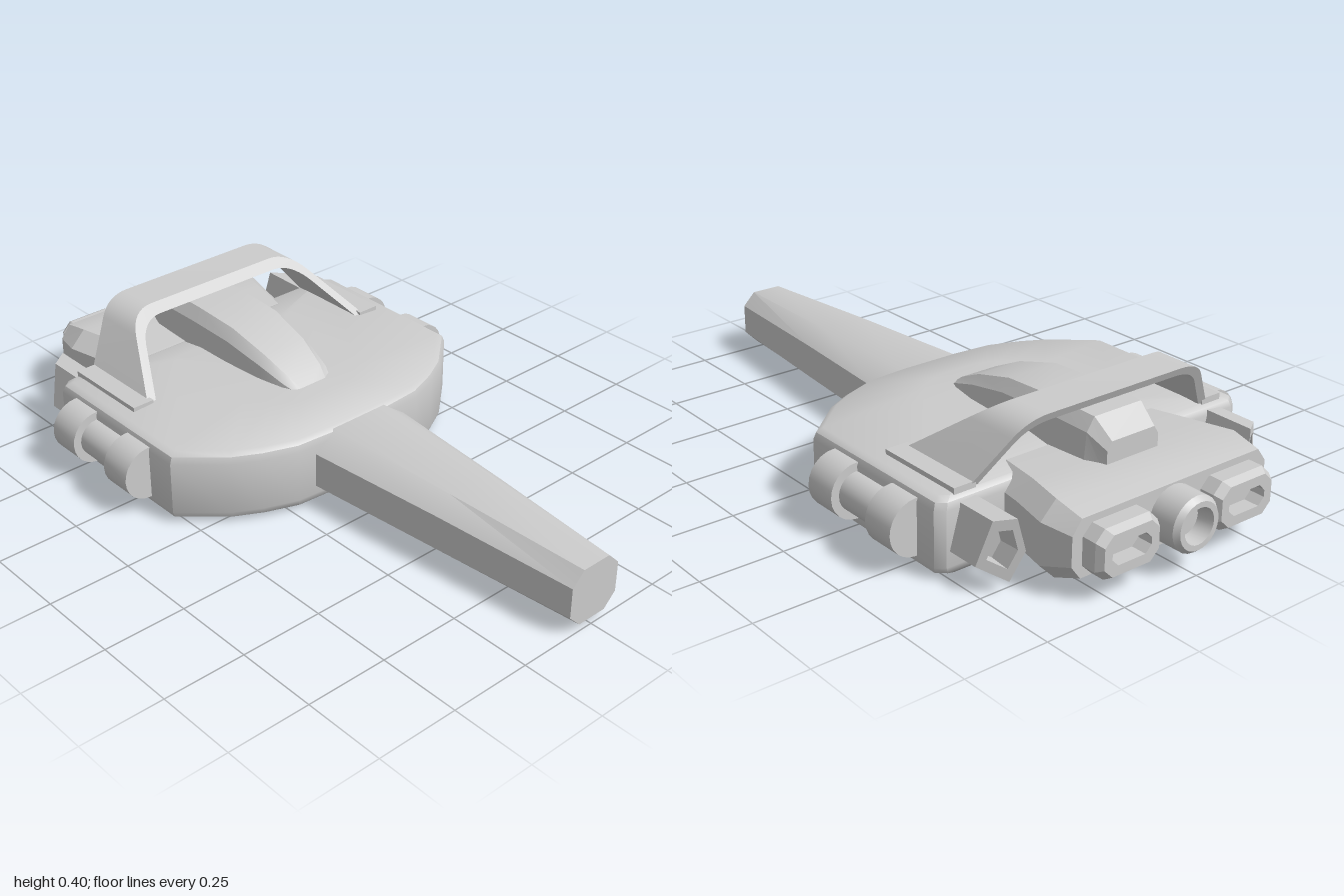
import * as THREE from 'three';
import { toCreasedNormals } from 'three/addons/utils/BufferGeometryUtils.js';

const material = new THREE.MeshStandardMaterial({ color: 0xcccccc });

function addMesh(parent, name, geometry, crease = 0.6) {
  const mesh = new THREE.Mesh(toCreasedNormals(geometry, crease), material);
  mesh.name = name;
  parent.add(mesh);
  return mesh;
}

// Closed skin through rings of [x, y, z] points, capped at both ends
function loft(rings) {
  const n = rings[0].length;
  const tris = [];
  const centre = (ring) => [0, 1, 2].map((k) => ring.reduce((s, p) => s + p[k], 0) / n);
  const first = rings[0], last = rings[rings.length - 1];
  const c0 = centre(first), c1 = centre(last);
  for (let i = 0; i < n; i++) {
    const j = (i + 1) % n;
    for (let r = 0; r < rings.length - 1; r++) {
      const a = rings[r], b = rings[r + 1];
      tris.push([a[i], a[j], b[j]], [a[i], b[j], b[i]]);
    }
    tris.push([c0, first[j], first[i]], [c1, last[i], last[j]]);
  }
  // Turn every face outward, judged by the enclosed volume
  let volume = 0;
  const v = [new THREE.Vector3(), new THREE.Vector3(), new THREE.Vector3()];
  for (const t of tris) {
    t.forEach((p, k) => v[k].set(...p));
    volume += v[0].dot(v[1].cross(v[2]));
  }
  if (volume < 0) tris.forEach((t) => t.reverse());
  const geometry = new THREE.BufferGeometry();
  geometry.setAttribute('position', new THREE.Float32BufferAttribute(tris.flat(2), 3));
  geometry.computeVertexNormals();
  return geometry;
}

// Chamfered rectangle at depth z
function octagon(cx, y0, y1, hw, cX, cY, z) {
  const half = [[hw, y0 + cY], [hw, y1 - cY], [hw - cX, y1]];
  const right = [[hw - cX, y0], ...half];
  const left = right.map(([x, y]) => [-x, y]).reverse();
  return [...right, ...left].map(([x, y]) => [cx + x, y, z]);
}

function latheZ(points, segments) {
  const g = new THREE.LatheGeometry(points.map(([r, z]) => new THREE.Vector2(r, z)), segments);
  return g.rotateX(-Math.PI / 2);
}

function buildHull(group) {
  const side = [[0.51, -0.63], [0.535, -0.61], [0.535, -0.08], [0.41, 0.03], [0.33, 0.073], [0.23, 0.11], [0.1, 0.12]];
  const outline = [...side, ...side.map(([x, z]) => [-x, z]).reverse()];
  const layer = (y, sx, sz = sx) => outline.map(([x, z]) => [x * sx, y, -0.26 + (z + 0.26) * sz]);
  addMesh(group, 'hull', loft([
    layer(0, 0.92, 0.94), layer(0.016, 0.985), layer(0.035, 1), layer(0.195, 1),
    layer(0.215, 0.985), layer(0.226, 0.95), layer(0.245, 0.4, 0.6),
  ]));

  // Rear block, widest just before its back face
  addMesh(group, 'rearBlock', loft([
    octagon(0, 0.015, 0.235, 0.31, 0.05, 0.05, -0.56),
    octagon(0, 0.02, 0.242, 0.335, 0.05, 0.05, -0.69),
    octagon(0, 0.024, 0.245, 0.366, 0.05, 0.05, -0.815),
    octagon(0, 0.06, 0.225, 0.342, 0.03, 0.04, -0.905),
  ]), 0.3);
}

function buildBoom(group) {
  addMesh(group, 'boom', loft([
    octagon(0, 0.008, 0.222, 0.176, 0.075, 0.055, 0.04),
    octagon(0, 0.009, 0.22, 0.17, 0.072, 0.052, 0.12),
    octagon(0, 0.015, 0.21, 0.13, 0.055, 0.045, 0.55),
    octagon(0, 0.022, 0.195, 0.088, 0.04, 0.04, 1),
  ]), 0.75);
}

function buildSpine(group) {
  // z, top height, half width of base, half width of ridge
  const sections = [
    [-0.755, 0.305, 0.09, 0.075], [-0.695, 0.355, 0.118, 0.082], [-0.52, 0.358, 0.118, 0.085],
    [-0.36, 0.35, 0.116, 0.084], [-0.22, 0.312, 0.106, 0.075], [-0.13, 0.27, 0.09, 0.06],
    [-0.07, 0.232, 0.06, 0.04],
  ];
  addMesh(group, 'spineFairing', loft(sections.map(([z, top, w, r]) => {
    const shoulder = 0.22 + (top - 0.22) * 0.72;
    const m = (w + r) / 2 + 0.008;
    return [[w, 0.2, z], [m, shoulder, z], [r, top, z], [-r, top, z], [-m, shoulder, z], [-w, 0.2, z]];
  })), 0.4);
}

function buildRollBar(group) {
  const shape = new THREE.Shape();
  shape.moveTo(0.425, 0.228);
  shape.lineTo(0.335, 0.355);
  shape.quadraticCurveTo(0.3, 0.404, 0.23, 0.404);
  shape.lineTo(-0.23, 0.404);
  shape.quadraticCurveTo(-0.3, 0.404, -0.335, 0.355);
  shape.lineTo(-0.425, 0.228);
  shape.lineTo(-0.395, 0.228);
  shape.lineTo(-0.32, 0.335);
  shape.quadraticCurveTo(-0.285, 0.38, -0.22, 0.38);
  shape.lineTo(0.22, 0.38);
  shape.quadraticCurveTo(0.285, 0.38, 0.32, 0.335);
  shape.lineTo(0.395, 0.228);
  const g = new THREE.ExtrudeGeometry(shape, { depth: 1, bevelEnabled: false, curveSegments: 8 });
  // Sweep the bar backwards and narrow it as it rises
  const p = g.attributes.position;
  for (let i = 0; i < p.count; i++) {
    const t = (p.getY(i) - 0.228) / 0.176;
    const front = -0.33 - 0.235 * t, back = -0.61 - 0.08 * t;
    p.setZ(i, back + (front - back) * p.getZ(i));
  }
  addMesh(group, 'rollBar', g);
}

function buildSideParts(group, s) {
  const name = s > 0 ? 'left' : 'right';

  const foot = new THREE.BoxGeometry(0.07, 0.04, 0.285);
  foot.translate(s * 0.44, 0.222, -0.472);
  addMesh(group, name + 'BarFoot', foot);

  // Side canister: a thin core held by two thick collars
  const canister = new THREE.Group();
  canister.name = name + 'Canister';
  canister.position.set(s * 0.538, 0.123, 0);
  group.add(canister);
  for (const [part, radius, length, z] of [
    ['core', 0.057, 0.16, -0.36], ['rearCollar', 0.082, 0.105, -0.488], ['frontCollar', 0.082, 0.105, -0.232],
  ]) {
    const g = new THREE.CylinderGeometry(radius, radius, length, 24);
    g.rotateX(Math.PI / 2).translate(0, 0, z);
    addMesh(canister, part, g);
  }

  // Corner vent: five-sided, its slanted mouth hollowed out
  const pentagon = [[0.397, 0.12], [0.415, 0.21], [0.465, 0.205], [0.5, 0.08], [0.43, 0.035]];
  const mouth = (scale, depth) => pentagon.map(([px, py]) => {
    const x = 0.44 + (px - 0.44) * scale, y = 0.13 + (py - 0.13) * scale;
    return [s * x, y, -0.8 + (x - 0.397) * 0.68 + depth];
  });
  addMesh(group, name + 'Vent', loft([
    pentagon.map(([x, y]) => [s * x, y, -0.58]), mouth(1, 0), mouth(0.62, 0), mouth(0.55, 0.06),
  ]), 0.3);

  // Rear exhaust box with a recessed slot
  const cx = s * 0.204;
  addMesh(group, name + 'Exhaust', loft([
    octagon(cx, 0.065, 0.205, 0.104, 0.03, 0.03, -0.86),
    octagon(cx, 0.065, 0.205, 0.104, 0.03, 0.03, -0.95),
    octagon(cx, 0.077, 0.193, 0.092, 0.028, 0.028, -0.972),
    octagon(cx, 0.105, 0.165, 0.066, 0.02, 0.02, -0.972),
    octagon(cx, 0.105, 0.165, 0.066, 0.02, 0.02, -0.925),
  ]), 0.3);
}

function buildNozzle(group) {
  const g = latheZ([[0, 0.86], [0.08, 0.86], [0.08, 0.985], [0.068, 1], [0.052, 1], [0.046, 0.95], [0, 0.95]], 24);
  g.translate(0, 0.14, 0);
  addMesh(group, 'centreNozzle', g);
}

export function createModel() {
  const group = new THREE.Group();
  group.name = 'spacecraft';
  buildHull(group);
  buildBoom(group);
  buildSpine(group);
  buildRollBar(group);
  buildNozzle(group);
  for (const s of [1, -1]) buildSideParts(group, s);
  return group;
}
